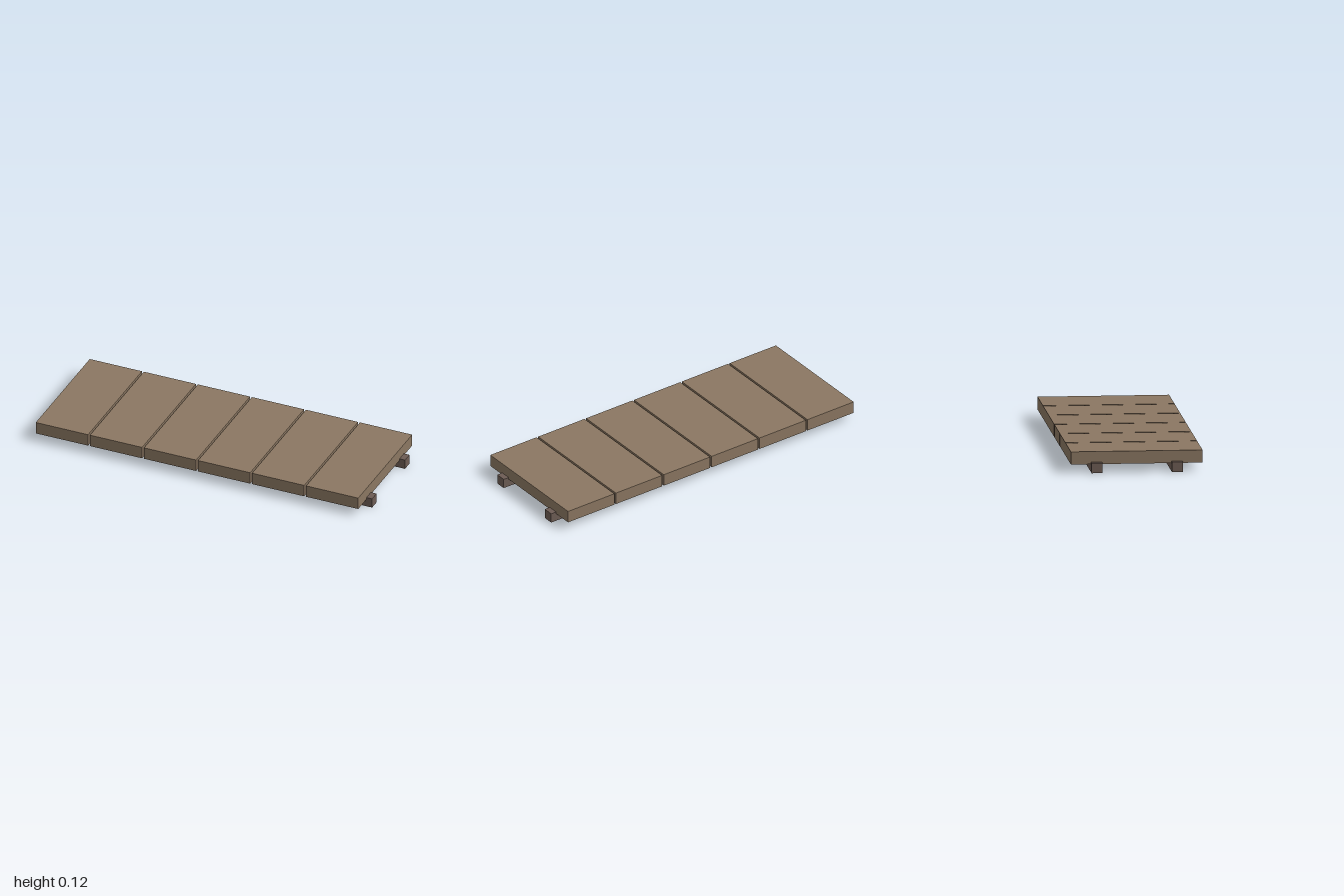
import * as THREE from 'three';

export function createModel() {
  const model = new THREE.Group();
  const plankMaterial = new THREE.MeshStandardMaterial({ color: 0x8b7762 });
  const railMaterial = new THREE.MeshStandardMaterial({ color: 0x6d5c54 });

  function addBox(name, size, position, material) {
    const mesh = new THREE.Mesh(new THREE.BoxGeometry(...size), material);
    mesh.name = name;
    mesh.position.set(...position);
    model.add(mesh);
  }

  // Two long rails carrying the deck
  for (const [name, side] of [['frontRail', 1], ['backRail', -1]]) {
    addBox(name, [2, 0.056, 0.06], [0, 0.028, side * 0.221], railMaterial);
  }

  // Six cross planks, slightly sunk onto the rails, with narrow gaps
  const count = 6, pitch = 0.324;
  for (let i = 0; i < count; i++) {
    const x = (i - (count - 1) / 2) * pitch;
    addBox(`plank${i + 1}`, [0.313, 0.07, 0.724], [x, 0.08, 0], plankMaterial);
  }

  return model;
}
